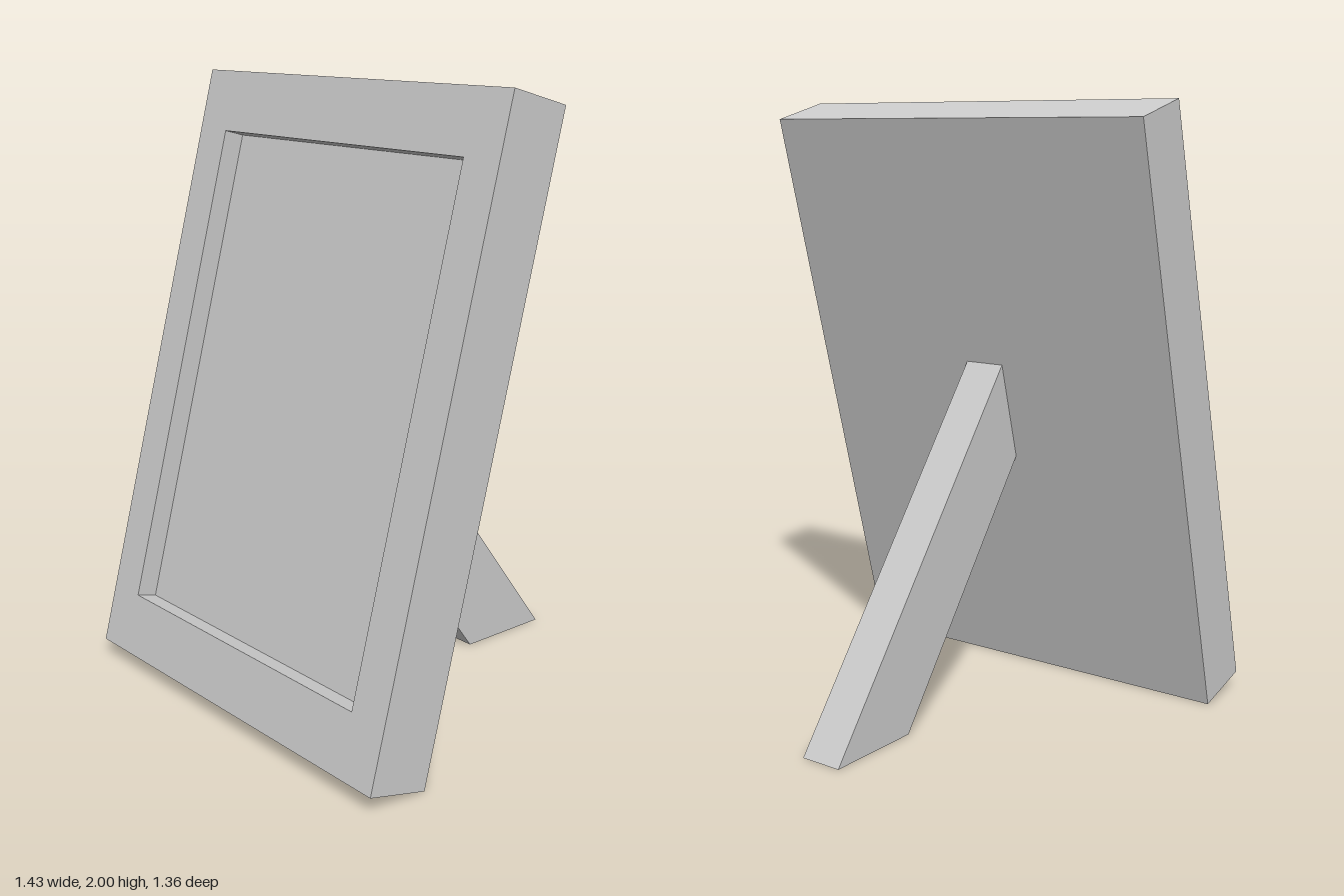
import * as THREE from 'three';

const material = new THREE.MeshStandardMaterial({ color: 0xcccccc, flatShading: true });

// Slab with a recessed front, built by stepping through rectangular loops
function recessedSlab(width, height, depth, opening, recess) {
  const loop = (scale, z) => [[-1, -1], [1, -1], [1, 1], [-1, 1]].map(
    ([x, y]) => [x * scale * width / 2, height / 2 + y * scale * height / 2, z]);
  const loops = [loop(1, 0), loop(1, depth), loop(opening, depth), loop(opening, depth - recess)];
  const positions = [];
  const quad = (a, b, c, d) => positions.push(...a, ...b, ...c, ...a, ...c, ...d);

  for (let i = 0; i < loops.length - 1; i++) {
    for (let j = 0; j < 4; j++) {
      const k = (j + 1) % 4;
      quad(loops[i][j], loops[i][k], loops[i + 1][k], loops[i + 1][j]);
    }
  }
  quad(...loops[3]); // picture panel
  quad(...[...loops[0]].reverse()); // back

  const geometry = new THREE.BufferGeometry();
  geometry.setAttribute('position', new THREE.Float32BufferAttribute(positions, 3));
  geometry.computeVertexNormals();
  return geometry;
}

export function createModel() {
  const model = new THREE.Group();
  model.name = 'pictureFrame';

  // Frame leaning back on its lower rear edge
  const frame = new THREE.Mesh(recessedSlab(1.434, 2.013, 0.214, 0.8, 0.0715), material);
  frame.name = 'frame';
  frame.position.z = 0.473;
  frame.rotation.x = -Math.PI / 12;
  model.add(frame);

  // Rear prop, mitred against the frame and the ground; profile is (z, y)
  const legWidth = 0.144;
  const profile = new THREE.Shape([
    [-0.677, 0], [-0.338, 0], [0.256, 0.811], [0.169, 1.137],
  ].map(([z, y]) => new THREE.Vector2(z, y)));
  const legGeometry = new THREE.ExtrudeGeometry(profile, { depth: legWidth, bevelEnabled: false });
  legGeometry.translate(0, 0, -legWidth / 2).rotateY(-Math.PI / 2);
  const leg = new THREE.Mesh(legGeometry, material);
  leg.name = 'supportLeg';
  model.add(leg);

  return model;
}
